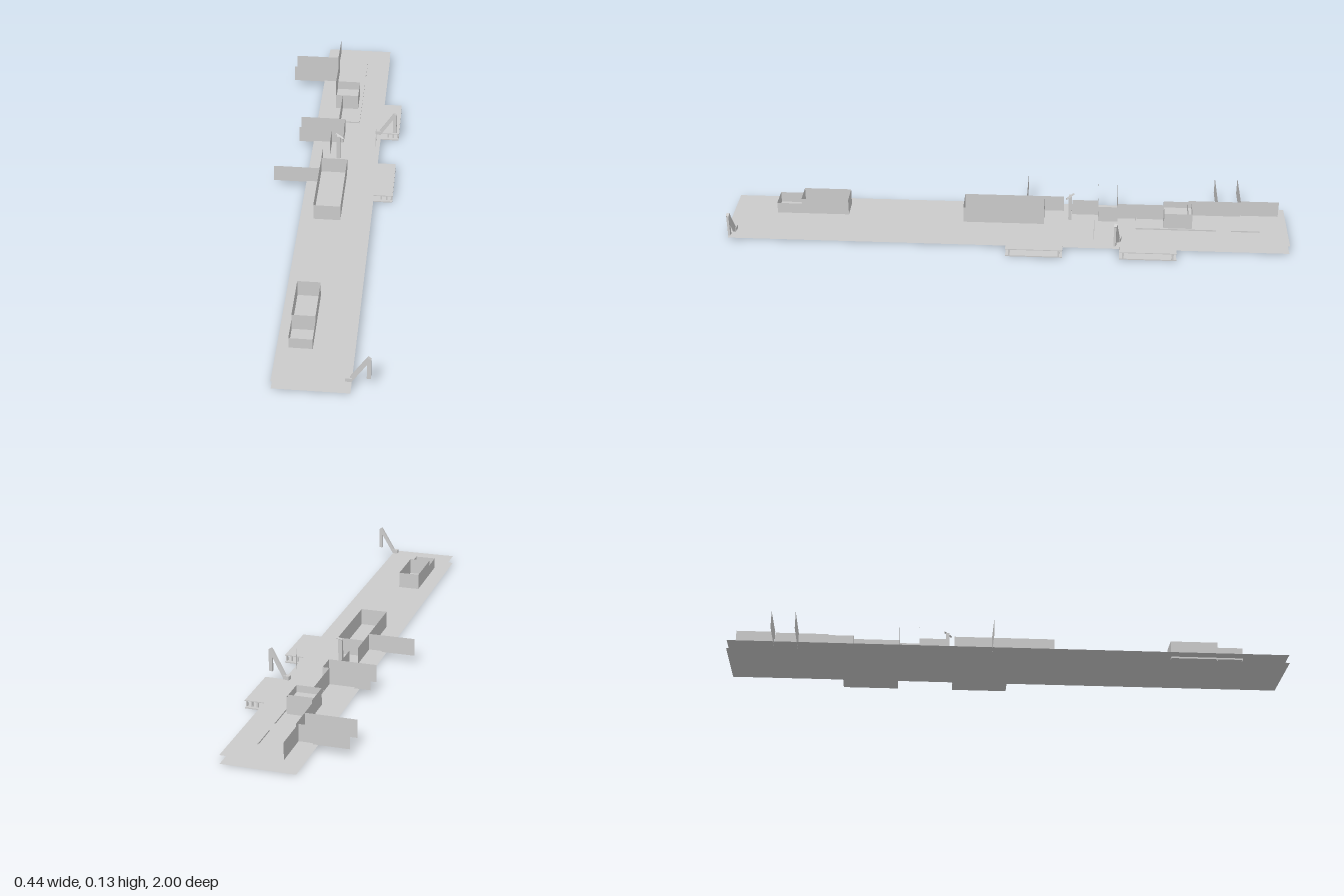
import * as THREE from 'three';

const grey = new THREE.MeshStandardMaterial({ color: 0xcccccc, side: THREE.DoubleSide, flatShading: true });

export function createModel() {
  const root = new THREE.Group();

  const add = (name, geometry, parent = root) => {
    const mesh = new THREE.Mesh(geometry, grey);
    mesh.name = name;
    parent.add(mesh);
    return mesh;
  };
  // Box given by its extents
  const box = (name, x0, x1, y0, y1, z0, z1, parent = root) => {
    const mesh = add(name, new THREE.BoxGeometry(x1 - x0, y1 - y0, z1 - z0), parent);
    mesh.position.set((x0 + x1) / 2, (y0 + y1) / 2, (z0 + z1) / 2);
    return mesh;
  };
  // Upright sheet between two plan points
  const wall = (name, xa, za, xb, zb, y0 = 0.03, y1 = 0.09, parent = root) => {
    const mesh = add(name, new THREE.PlaneGeometry(Math.hypot(xb - xa, zb - za), y1 - y0), parent);
    mesh.position.set((xa + xb) / 2, (y0 + y1) / 2, (za + zb) / 2);
    mesh.rotation.y = Math.atan2(za - zb, xb - xa);
    return mesh;
  };
  // Flat sheet
  const sheet = (name, x0, x1, z0, z1, y) => {
    const mesh = add(name, new THREE.PlaneGeometry(x1 - x0, z1 - z0).rotateX(-Math.PI / 2));
    mesh.position.set((x0 + x1) / 2, y, (z0 + z1) / 2);
    return mesh;
  };
  // Square beam between two points
  const beam = (name, a, b, width, depth, parent = root) => {
    const p = new THREE.Vector3(...a), q = new THREE.Vector3(...b);
    const mesh = add(name, new THREE.BoxGeometry(width, p.distanceTo(q), depth), parent);
    mesh.position.copy(p).add(q).multiplyScalar(0.5);
    mesh.quaternion.setFromUnitVectors(new THREE.Vector3(0, 1, 0), q.sub(p).normalize());
    return mesh;
  };
  // Open-topped enclosure of four sheets
  const enclosure = (name, x0, x1, z0, z1, y0, y1) => {
    const g = new THREE.Group();
    g.name = name;
    wall('frontWall', x0, z1, x1, z1, y0, y1, g);
    wall('backWall', x0, z0, x1, z0, y0, y1, g);
    wall('leftWall', x1, z0, x1, z1, y0, y1, g);
    wall('rightWall', x0, z0, x0, z1, y0, y1, g);
    root.add(g);
  };

  // Two decks
  sheet('lowerDeck', -0.1, 0.15, -1, 1, 0);
  sheet('upperDeck', -0.1, 0.15, -1, 1, 0.03);

  // Side landings on posts
  for (const z of [-0.6, -0.2]) {
    box('landingTop', 0.15, 0.219, 0.027, 0.03, z, z + 0.2);
    box('landingBase', 0.15, 0.219, 0, 0.004, z, z + 0.2);
    for (const x of [0.175, 0.195, 0.213])
      for (const pz of [z + 0.01, z + 0.184])
        box('landingPost', x, x + 0.006, 0.004, 0.027, pz, pz + 0.006);
  }

  // Front enclosure: high back part, low front part
  enclosure('frontHighPen', -0.062, 0.016, 0.58, 0.75, 0.024, 0.09);
  wall('frontLowPenFront', -0.062, 0.84, 0.016, 0.84, 0.024, 0.07);
  for (const x of [-0.062, 0.016]) wall('frontLowPenSide', x, 0.75, x, 0.84, 0.024, 0.07);

  // Long middle enclosure
  enclosure('middlePen', -0.052, 0.044, -0.13, 0.16, 0.03, 0.09);

  // Cross walls reaching past the deck edge
  const crossWalls = [[-0.22, -0.052, -0.065], [-0.155, 0.014, -0.325], [-0.155, 0.014, -0.395],
    [-0.22, -0.045, -0.755], [-0.22, -0.052, -0.838]];
  for (const [x0, x1, z] of crossWalls) wall('crossWall', x0, z, x1, z, 0.026, 0.09);

  // Walls running along the deck
  const longWalls = [[-0.052, -0.13, -0.2], [-0.03, -0.23, -0.325], [0.014, -0.325, -0.395],
    [-0.01, -0.395, -0.56], [-0.045, -0.65, -0.838], [-0.052, -0.838, -0.975]];
  for (const [x, z0, z1] of longWalls) wall('longWall', x, z0, x, z1);

  // Small cabin with raised rim and inner floor
  enclosure('cabin', -0.037, 0.05, -0.66, -0.56, 0.03, 0.09);
  sheet('cabinFloor', -0.037, 0.05, -0.66, -0.56, 0.065);
  wall('cabinPartition', -0.037, -0.645, 0.05, -0.645, 0.065, 0.092);

  // Low rails on the deck
  box('railCross', -0.012, 0.064, 0.031, 0.036, -0.464, -0.459);
  box('railLong', 0.059, 0.064, 0.031, 0.036, -0.745, -0.464);
  box('railEnd', 0.059, 0.064, 0.031, 0.036, -0.9, -0.8);

  // Mast with slanted head, and thin pole
  box('mast', -0.003, 0.01, 0.03, 0.128, -0.229, -0.217);
  beam('mastHead', [-0.006, 0.129, -0.235], [0.024, 0.125, -0.21], 0.006, 0.006);
  box('pole', 0.1365, 0.1385, 0.03, 0.11, -0.311, -0.309);

  // Two cranes, each with base, boom and hanging arm
  for (const [z, turn] of [[0.972, -0.06], [-0.398, -0.22]]) {
    const crane = new THREE.Group();
    crane.name = 'crane';
    crane.position.set(0.141, 0, z);
    crane.rotation.y = turn;
    box('craneBase', -0.01, 0.012, 0.03, 0.044, -0.008, 0.008, crane);
    beam('craneBoom', [0.004, 0.03, 0], [0.066, 0.131, 0], 0.013, 0.01, crane);
    box('craneArm', 0.058, 0.071, 0.048, 0.126, -0.004, 0.004, crane);
    root.add(crane);
  }
  return root;
}
